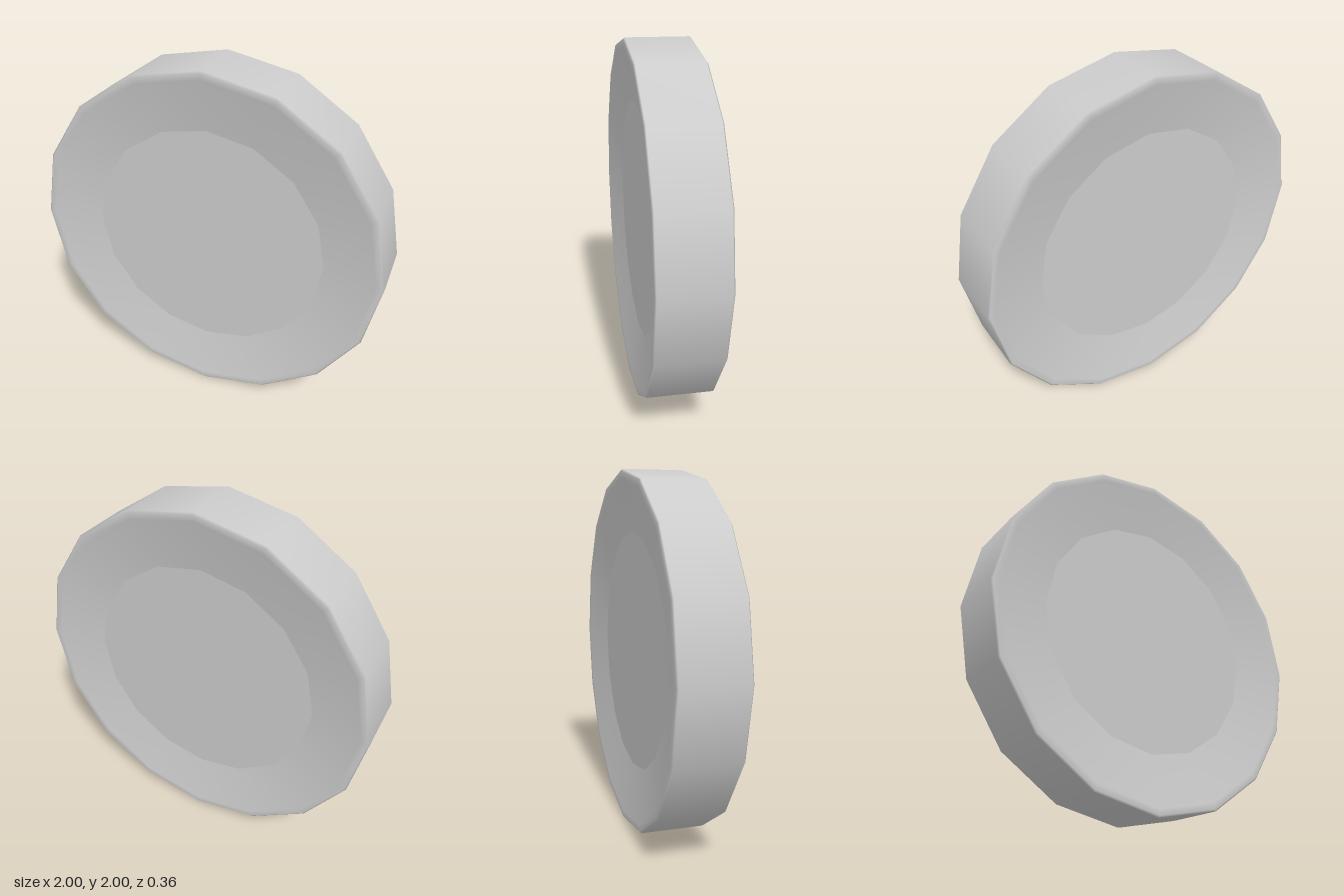
import * as THREE from 'three';

const SIDES = 16;

export function createModel() {
  const model = new THREE.Group();
  const material = new THREE.MeshStandardMaterial({ color: 0xcccccc });

  // Turn a profile of (radius, z) points around the z axis
  const addRing = (name, profile) => {
    const points = profile.map(([r, z]) => new THREE.Vector2(r, z));
    const geometry = new THREE.LatheGeometry(points, SIDES);
    geometry.rotateX(Math.PI / 2);
    const mesh = new THREE.Mesh(geometry, material);
    mesh.name = name;
    mesh.position.y = 1;
    model.add(mesh);
  };

  // Half profile from the recessed face out to the rim, on the front side
  const half = [[0.67, 0.12], [0.92, 0.165], [0.955, 0.178], [0.99, 0.18], [1, 0.172]];
  const back = half.map(([r, z]) => [r, -z]);

  // Sloping dish, rounded lip and outer wall in one smooth surface
  addRing('rim', [...back, ...[...half].reverse()]);

  // Flat recessed faces, kept separate for a crisp edge
  addRing('backFace', [[0, -0.12], [0.67, -0.12]]);
  addRing('frontFace', [[0.67, 0.12], [0, 0.12]]);

  return model;
}
